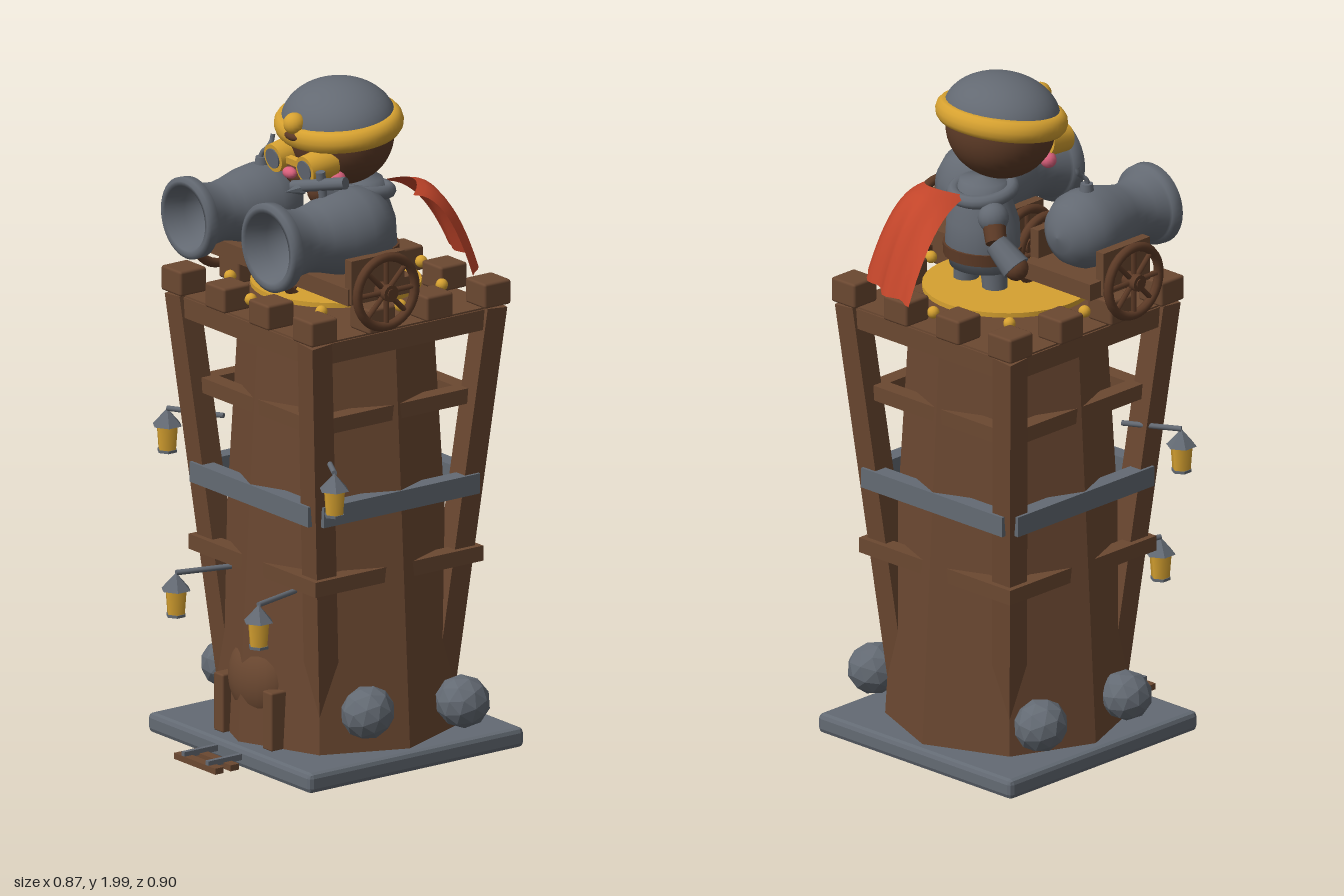
import * as THREE from 'three';
import { RoundedBoxGeometry } from 'three/addons/geometries/RoundedBoxGeometry.js';

const mat = (name, color, extra = {}) => Object.assign(new THREE.MeshStandardMaterial({ color, ...extra }), { name });
const V = (x, y, z) => new THREE.Vector3(x, y, z);
const CZ = -0.06; // depth of the tower axis

export function createModel() {
  const wood = mat('wood', 0x6b4831), darkWood = mat('dark wood', 0x5c3a26);
  const stone = mat('stone', 0x636a73, { flatShading: true }), metal = mat('metal', 0x636972);
  const gold = mat('gold', 0xd6a130), red = mat('red cloth', 0xc2452a, { side: THREE.DoubleSide });
  const pink = mat('pink', 0xd9607c), woodFlat = mat('tower wood', 0x6b4831, { flatShading: true });
  const root = new THREE.Group();

  const add = (name, geo, m, x = 0, y = 0, z = 0, parent = root) => {
    const mesh = new THREE.Mesh(geo, m);
    mesh.name = name;
    mesh.position.set(x, y, z);
    parent.add(mesh);
    return mesh;
  };
  const group = (name, x, y, z, parent = root) => {
    const g = new THREE.Group();
    g.name = name;
    g.position.set(x, y, z);
    parent.add(g);
    return g;
  };
  const box = (w, h, d) => new THREE.BoxGeometry(w, h, d);
  const ball = (r, n = 20) => new THREE.SphereGeometry(r, n, Math.ceil(n * 0.7));
  // Round or square bar running from a to b
  const bar = (name, a, b, r, m, parent = root, r2 = r, sides = 12) => {
    const geo = new THREE.CylinderGeometry(r2, r, a.distanceTo(b), sides);
    if (sides === 4) geo.rotateY(Math.PI / 4);
    const mesh = add(name, geo, m, 0, 0, 0, parent);
    mesh.position.copy(a).lerp(b, 0.5);
    mesh.quaternion.setFromUnitVectors(V(0, 1, 0), b.clone().sub(a).normalize());
    return mesh;
  };

  // Base slab, tower shaft and top deck
  add('base', new RoundedBoxGeometry(0.77, 0.06, 0.77, 1, 0.015), stone, 0, 0.04, CZ);
  add('shaft', new THREE.CylinderGeometry(0.28, 0.35, 1.23, 8), woodFlat, 0, 0.685, CZ);
  add('deck', box(0.66, 0.05, 0.66), wood, 0, 1.305, CZ);
  for (const sx of [-1, 1]) for (const sz of [-1, 1])
    bar('cornerPost', V(sx * 0.2, 0.1, CZ + sz * 0.2), V(sx * 0.314, 1.33, CZ + sz * 0.314), 0.05, woodFlat, root, 0.05, 4);

  // Horizontal beams on all four sides: height, thickness, outer offset, length
  const beams = [[0.585, 0.045, 0.3, 0.6, wood], [0.8, 0.06, 0.312, 0.56, stone], [1.06, 0.045, 0.288, 0.55, wood], [1.295, 0.06, 0.335, 0.62, wood]];
  for (const [y, h, off, len, m] of beams) for (let i = 0; i < 4; i++) {
    const a = i * Math.PI / 2, r = off - 0.025;
    add('crossBeam', box(len, h, 0.05), m, Math.sin(a) * r, y, CZ + Math.cos(a) * r).rotation.y = a;
  }

  // Battlement blocks around the deck
  for (let i = 0; i < 4; i++) for (let j = 0; j < 4; j++)
    if (i % 3 === 0 || j % 3 === 0)
      add('merlon', new RoundedBoxGeometry(0.095, 0.075, 0.095, 1, 0.008), wood, -0.31 + i * 0.2067, 1.37, CZ - 0.31 + j * 0.2067);

  // Golden disc and studs
  add('goldDisc', new THREE.CylinderGeometry(0.245, 0.245, 0.014, 40), gold, 0, 1.382, CZ);
  for (let i = 0; i < 8; i++) {
    const a = i * Math.PI / 4;
    add('goldStud', ball(0.018, 12), gold, Math.sin(a) * 0.305, 1.382, CZ + Math.cos(a) * 0.305);
  }

  // Boulders at the foot
  for (const [x, y, z, s] of [[0.335, 0.2, 0.08, 1], [0.335, 0.17, -0.26, 1], [-0.345, 0.18, 0.07, 0.95], [-0.335, 0.18, -0.27, 1]]) {
    const rock = add('boulder', new THREE.IcosahedronGeometry(0.08, 1), stone, x, y, z);
    rock.scale.set(s, s * 0.95, s);
    rock.rotation.set(x, z * 9, y * 3);
  }

  // Domed door with side posts, and entry steps
  add('door', ball(1, 24), wood, 0, 0.245, 0.2).scale.set(0.125, 0.13, 0.085);
  for (const s of [-1, 1]) {
    add('doorPost', new RoundedBoxGeometry(0.045, 0.175, 0.06, 1, 0.006), wood, s * 0.115, 0.155, 0.245);
    add('stepRail', box(0.014, 0.018, 0.14), metal, s * 0.056, 0.045, 0.375);
  }
  for (const z of [0.376, 0.431]) add('step', box(0.195, 0.018, 0.03), wood, 0, 0.032, z);

  // Hanging lanterns, two high at the sides and two low at the front
  for (const s of [-1, 1]) for (const [x, y, z, ax, az] of [[0.395, 0.875, 0.245, 0.24, 0.16], [0.195, 0.455, 0.365, 0.15, 0.2]]) {
    const g = group('lantern', s * x, y, z);
    add('lanternGlass', new THREE.CylinderGeometry(0.033, 0.027, 0.075, 6), gold, 0, 0, 0, g);
    add('lanternRoof', new THREE.ConeGeometry(0.045, 0.05, 6), stone, 0, 0.06, 0, g);
    add('lanternFoot', new THREE.CylinderGeometry(0.03, 0.03, 0.008, 6), stone, 0, -0.04, 0, g);
    bar('lanternArm', V(s * (ax - x), 0.085, az - z), V(0, 0.085, 0), 0.008, metal, g);
  }

  // Spoked wheel with its axle along x
  const wheel = (x, y, z, parent) => {
    const g = group('wheel', x, y, z, parent);
    add('rim', new THREE.TorusGeometry(0.103, 0.014, 8, 32), darkWood, 0, 0, 0, g).rotation.y = Math.PI / 2;
    for (let i = 0; i < 8; i++) {
      const a = i * Math.PI / 4;
      bar('spoke', V(0, 0, 0), V(0, Math.cos(a) * 0.1, Math.sin(a) * 0.1), 0.008, darkWood, g, 0.008, 6);
    }
    add('hub', new THREE.CylinderGeometry(0.025, 0.025, 0.05, 14), darkWood, 0, 0, 0, g).rotation.z = Math.PI / 2;
  };

  // Bell-mouthed cannons on carriages
  const profile = [[0, -0.08], [0.05, -0.07], [0.09, -0.04], [0.115, 0.005], [0.12, 0.05], [0.112, 0.11], [0.095, 0.17], [0.088, 0.21],
    [0.093, 0.25], [0.108, 0.285], [0.11, 0.295], [0.122, 0.297], [0.124, 0.325], [0.112, 0.333], [0.098, 0.33], [0.085, 0.27], [0.06, 0.22], [0, 0.21]];
  const barrel = new THREE.LatheGeometry(profile.map(([r, y]) => new THREE.Vector2(r, y)), 40).rotateX(Math.PI / 2);
  for (const s of [-1, 1]) {
    const g = group('cannon', s * 0.212, 0, 0);
    const k = s > 0 ? 1.05 : 0.97;
    add('barrel', barrel, metal, 0, s > 0 ? 1.605 : 1.585, 0, g).scale.setScalar(k);
    for (const t of [-1, 1]) {
      add('carriageCheek', box(0.03, 0.13, 0.19), wood, t * 0.13, 1.5, 0.06, g);
      wheel(t * 0.177, 1.465, 0.055, g);
    }
    add('carriageBed', box(0.27, 0.05, 0.24), wood, 0, 1.455, 0.04, g);
    bar('axle', V(-0.205, 1.465, 0.055), V(0.205, 1.465, 0.055), 0.014, darkWood, g);
  }
  // Curled fuse on one barrel
  const fuse = new THREE.CatmullRomCurve3([V(-0.212, 1.68, 0.045), V(-0.212, 1.73, 0.045), V(-0.205, 1.745, 0.03), V(-0.212, 1.76, 0.01), V(-0.212, 1.78, 0.005)]);
  add('fuse', new THREE.TubeGeometry(fuse, 20, 0.007, 8), metal);
  add('fuseCollar', new THREE.CylinderGeometry(0.018, 0.022, 0.03, 16), metal, -0.212, 1.705, 0.045);

  // Gunner: legs, torso, belt and collar
  const gunner = group('gunner', 0.06, 0, -0.1);
  for (const s of [-1, 1]) {
    bar('leg', V(s * 0.06, 1.36, -0.01), V(s * 0.05, 1.48, -0.01), 0.036, metal, gunner, 0.042);
    add('boot', ball(0.04, 14), metal, s * 0.06, 1.352, 0.01, gunner).scale.set(1, 0.6, 1.35);
  }
  const torso = [[0, 1.43], [0.1, 1.44], [0.115, 1.5], [0.11, 1.58], [0.085, 1.65], [0.07, 1.7], [0, 1.71]].map(([r, y]) => new THREE.Vector2(r, y));
  add('torso', new THREE.LatheGeometry(torso, 24), metal, 0, 0, 0, gunner).scale.z = 0.9;
  add('belt', new THREE.CylinderGeometry(0.12, 0.118, 0.035, 24), darkWood, 0, 1.49, 0, gunner).scale.z = 0.92;
  const collar = add('collar', new THREE.TorusGeometry(0.085, 0.02, 10, 28), metal, 0, 1.67, 0, gunner);
  collar.rotation.x = Math.PI / 2 - 0.15;

  // Arms: one hanging with a gauntlet, one raised to the weapon
  const arm = (a, b, c) => {
    add('shoulder', ball(0.045, 16), metal, a.x, a.y, a.z, gunner);
    bar('upperArm', a, b, 0.035, darkWood, gunner, 0.03);
    bar('gauntlet', b, c, 0.034, metal, gunner, 0.044);
    add('hand', ball(0.036, 14), darkWood, c.x, c.y, c.z, gunner);
  };
  arm(V(-0.09, 1.62, -0.05), V(-0.13, 1.56, -0.08), V(-0.2, 1.5, -0.07));
  arm(V(0.1, 1.62, 0.02), V(0.15, 1.64, 0.12), V(0.1, 1.72, 0.22));
  bar('weaponBarrel', V(0.04, 1.73, 0.27), V(0.21, 1.77, 0.21), 0.018, metal, gunner);
  bar('weaponGrip', V(0.13, 1.64, 0.22), V(0.13, 1.79, 0.24), 0.014, metal, gunner);
  add('weaponTip', new THREE.ConeGeometry(0.02, 0.06, 6), stone, 0.07, 1.73, 0.29, gunner).rotation.x = Math.PI / 2;

  // Cape: flaring sheet that billows backwards
  const cape = new THREE.PlaneGeometry(1, 1, 14, 12);
  const p = cape.attributes.position;
  for (let i = 0; i < p.count; i++) {
    const u = p.getX(i) * 2, t = 0.5 - p.getY(i);
    const ripple = 0.012 * t * Math.sin(u * 8);
    p.setXYZ(i, 0.075 + 0.02 * t + u * (0.085 + 0.06 * t),
      1.69 - 0.07 * t - 0.2 * t * t - 0.02 * u * u * (1 - t),
      -0.13 - 0.19 * Math.pow(t, 0.75) + u * 0.055 * t + 0.06 * u * u * (1 - 0.5 * t) + ripple);
  }
  cape.computeVertexNormals();
  add('cape', cape, red, 0, 0, 0, gunner);

  // Head, tilted helmet and golden band
  const head = group('head', 0.055, 1.865, -0.03);
  head.rotation.x = 0.13;
  add('face', ball(1, 32), darkWood, 0, -0.02, 0, head).scale.set(0.165, 0.15, 0.15);
  add('helmet', new THREE.SphereGeometry(1, 36, 14, 0, Math.PI * 2, 0, Math.PI / 2), metal, 0, 0.015, 0, head).scale.set(0.178, 0.122, 0.16);
  const band = add('helmetBand', new THREE.TorusGeometry(0.175, 0.028, 12, 48), gold, 0, 0.012, 0, head);
  band.rotation.x = Math.PI / 2;
  band.scale.set(1, 0.87, 1.2);
  add('bandKnob', ball(0.032, 16), gold, 0, 0.055, 0.155, head);
  add('brow', ball(1, 16), darkWood, 0, 0.02, 0.165, head).scale.set(0.035, 0.014, 0.016);

  // Goggles, nose and cheeks
  for (const s of [-1, 1]) {
    add('goggle', new THREE.CylinderGeometry(0.042, 0.048, 0.09, 20), gold, s * 0.075, -0.06, 0.145, head).rotation.x = Math.PI / 2;
    add('goggleLens', new THREE.CylinderGeometry(0.03, 0.03, 0.008, 20), metal, s * 0.075, -0.06, 0.19, head).rotation.x = Math.PI / 2;
    add('cheek', ball(0.024, 12), pink, s * 0.105, -0.108, 0.1, head);
  }
  add('goggleBridge', box(0.08, 0.02, 0.02), gold, 0, -0.06, 0.165, head);
  add('muzzle', ball(1, 18), darkWood, 0, -0.1, 0.13, head).scale.set(0.07, 0.045, 0.06);
  add('nose', ball(1, 14), pink, 0, -0.085, 0.19, head).scale.set(0.026, 0.017, 0.018);
  return root;
}
